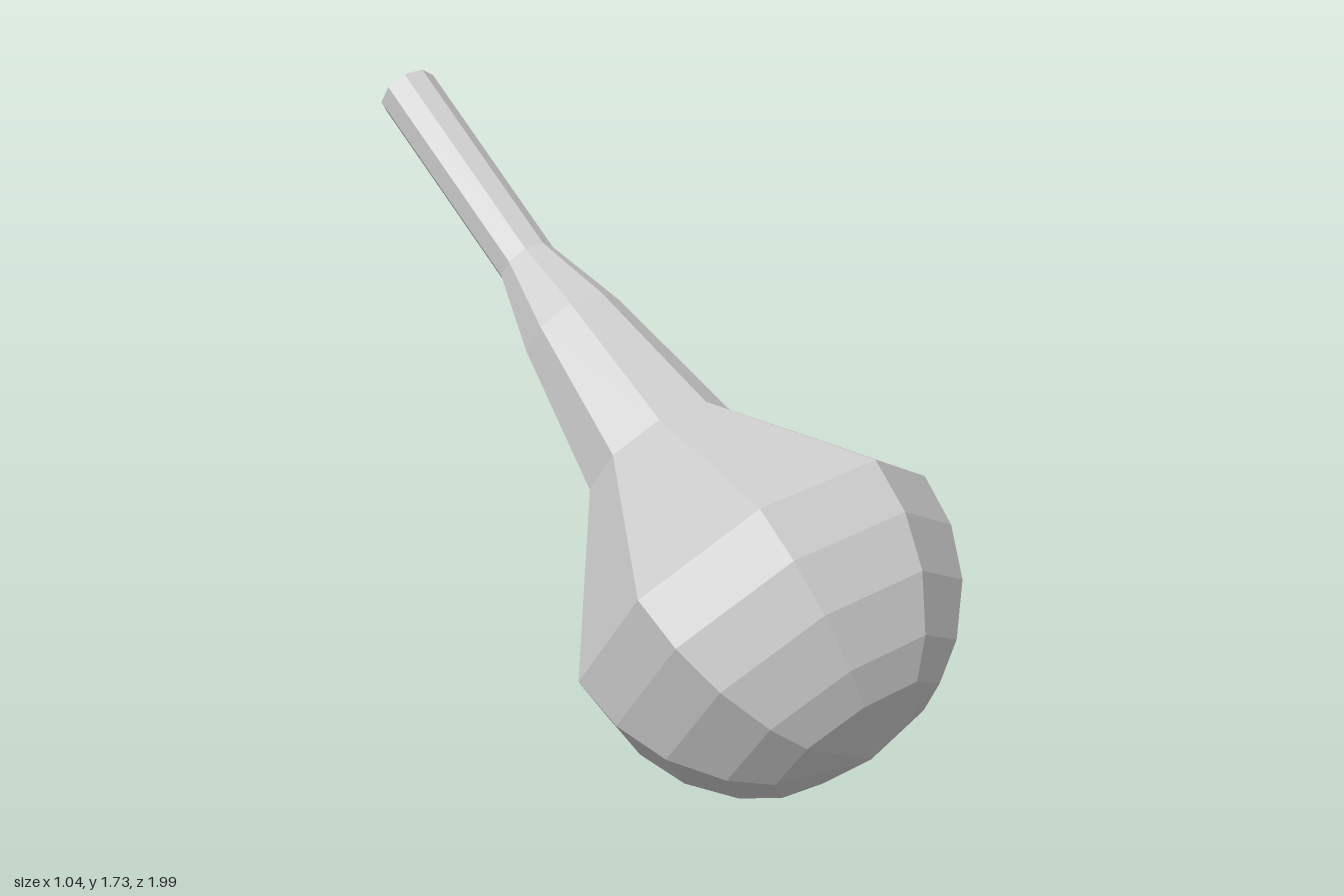
import * as THREE from 'three';

export function createModel() {
  const group = new THREE.Group();
  const SIDES = 9, R = 0.535;

  // Profile along the axis, measured from the widest ring: faceted dome, then shoulder and neck
  const profile = [0, 28, 41, 58, 74, 90].map((deg) => {
    const t = THREE.MathUtils.degToRad(deg);
    return new THREE.Vector2(R * Math.sin(t), -R * Math.cos(t));
  });
  for (const [r, s] of [[0.222, 0.455], [0.15, 0.905], [0.085, 1.15], [0.087, 1.83]]) {
    profile.push(new THREE.Vector2(r, s));
  }

  // One hollow body, open at the end of the neck
  const body = new THREE.Mesh(
    new THREE.LatheGeometry(profile, SIDES),
    new THREE.MeshStandardMaterial({ color: 0xcccccc, flatShading: true, side: THREE.DoubleSide })
  );
  body.name = 'bulbWithNeck';

  // Lean the axis up and back, with one corner of the rings facing up
  const axis = new THREE.Vector3(0.16, 0.623, -0.766).normalize();
  const corner = new THREE.Vector3(0.02, 0.776, 0.631);
  const sideways = new THREE.Vector3().crossVectors(axis, corner).normalize();
  corner.crossVectors(sideways, axis);
  body.quaternion.setFromRotationMatrix(new THREE.Matrix4().makeBasis(sideways, axis, corner));
  body.position.set(0, 0.532, 0.463);

  group.add(body);
  return group;
}
